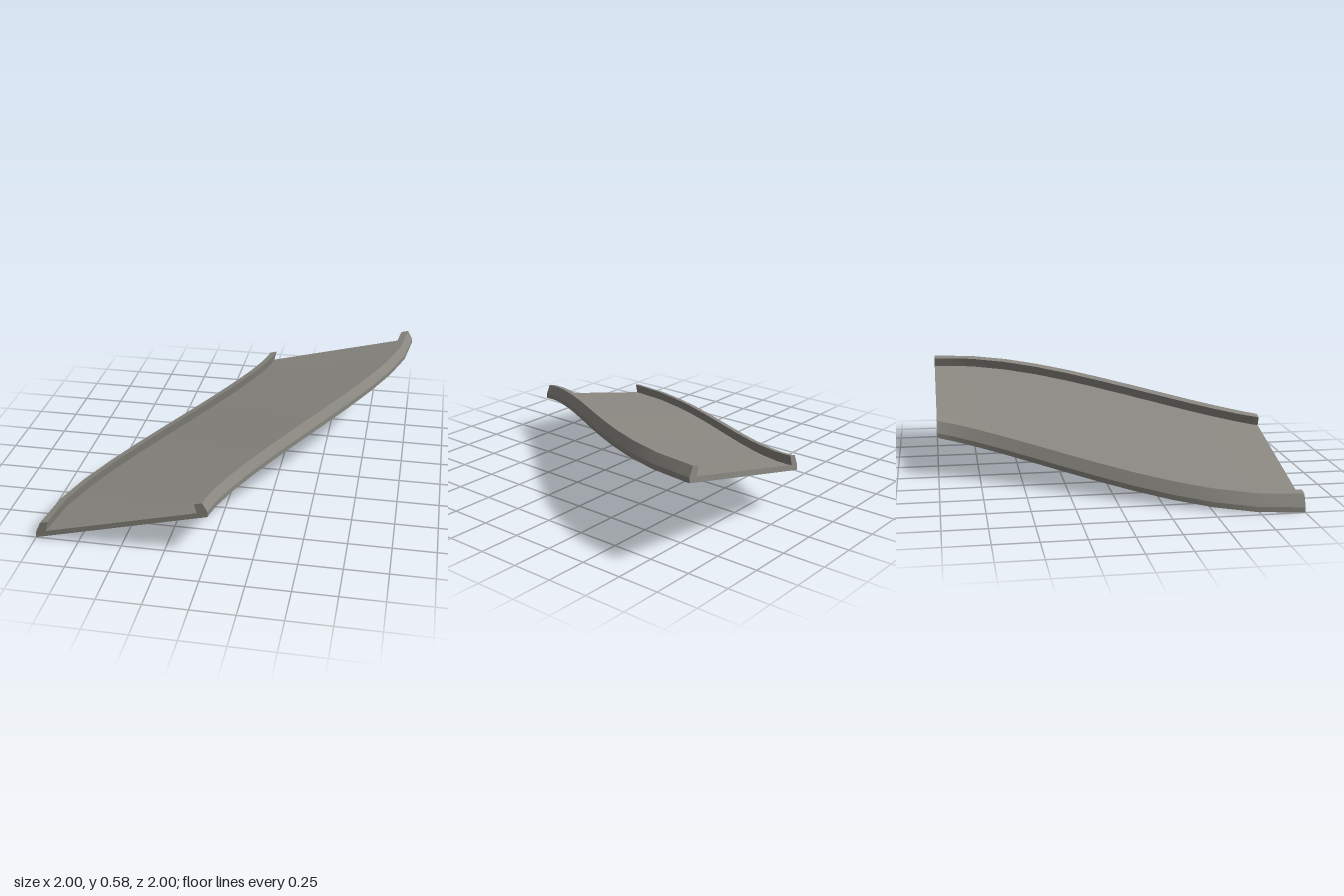
import * as THREE from 'three';

const SEGMENTS = 12;
const BANK = 0.25; // rise per unit of width, and total climb

// Centre line seen from above: an S-bend from front to back
const path = new THREE.CubicBezierCurve(
  new THREE.Vector2(-0.5, 1), new THREE.Vector2(-0.5, 0.46),
  new THREE.Vector2(0.5, -0.46), new THREE.Vector2(0.5, -1));

// Place a cross-section point (u across, v up) on the banked, climbing path
function place(t, [u, v]) {
  const c = path.getPoint(t);
  const d = path.getTangent(t);
  if (t === 0 || t === 1) d.set(0, -1);
  const climb = t * t * (3 - 2 * t);
  return [c.x - d.y * u, 0.125 + BANK * (climb + u) + v, c.y + d.x * u];
}

function strip(pos, index) {
  const g = new THREE.BufferGeometry();
  g.setAttribute('position', new THREE.Float32BufferAttribute(pos, 3));
  g.setIndex(index);
  g.computeVertexNormals();
  return g;
}

// Sweep a counter-clockwise section; each side is smooth along the path, sharp across it
function sweep(name, section, material) {
  const group = new THREE.Group();
  group.name = name;
  const add = (part, geometry) => {
    const mesh = new THREE.Mesh(geometry, material);
    mesh.name = part;
    group.add(mesh);
  };
  section.forEach((a, k) => {
    const b = section[(k + 1) % section.length];
    const pos = [], index = [];
    for (let i = 0; i <= SEGMENTS; i++) {
      const t = i / SEGMENTS;
      pos.push(...place(t, a), ...place(t, b));
      if (i < SEGMENTS) {
        const n = 2 * i;
        index.push(n, n + 2, n + 1, n + 1, n + 2, n + 3);
      }
    }
    add(name + 'Side', strip(pos, index));
  });
  // Flat end caps
  const faces = THREE.ShapeUtils.triangulateShape(section.map(p => new THREE.Vector2(...p)), []);
  for (const t of [0, 1]) {
    const index = faces.flatMap(([a, b, c]) => (t === 0 ? [a, b, c] : [a, c, b]));
    add(name + 'End', strip(section.flatMap(p => place(t, p)), index));
  }
  return group;
}

export function createModel() {
  const model = new THREE.Group();
  model.name = 'curvedTrack';
  const grey = new THREE.MeshStandardMaterial({ color: 0x8b8982 });
  grey.name = 'warmGrey';

  // Thin road deck
  model.add(sweep('deck', [[-0.44, 0], [0.44, 0], [0.44, 0.033], [-0.44, 0.033]], grey));

  // Raised kerbs with a sloping outer face and slightly undercut inner face
  const kerb = [[0.44, 0], [0.5, 0], [0.5, 0.03], [0.47, 0.092], [0.425, 0.092], [0.44, 0.033]];
  model.add(sweep('leftKerb', kerb, grey));
  model.add(sweep('rightKerb', kerb.map(([u, v]) => [-u, v]).reverse(), grey));
  return model;
}
